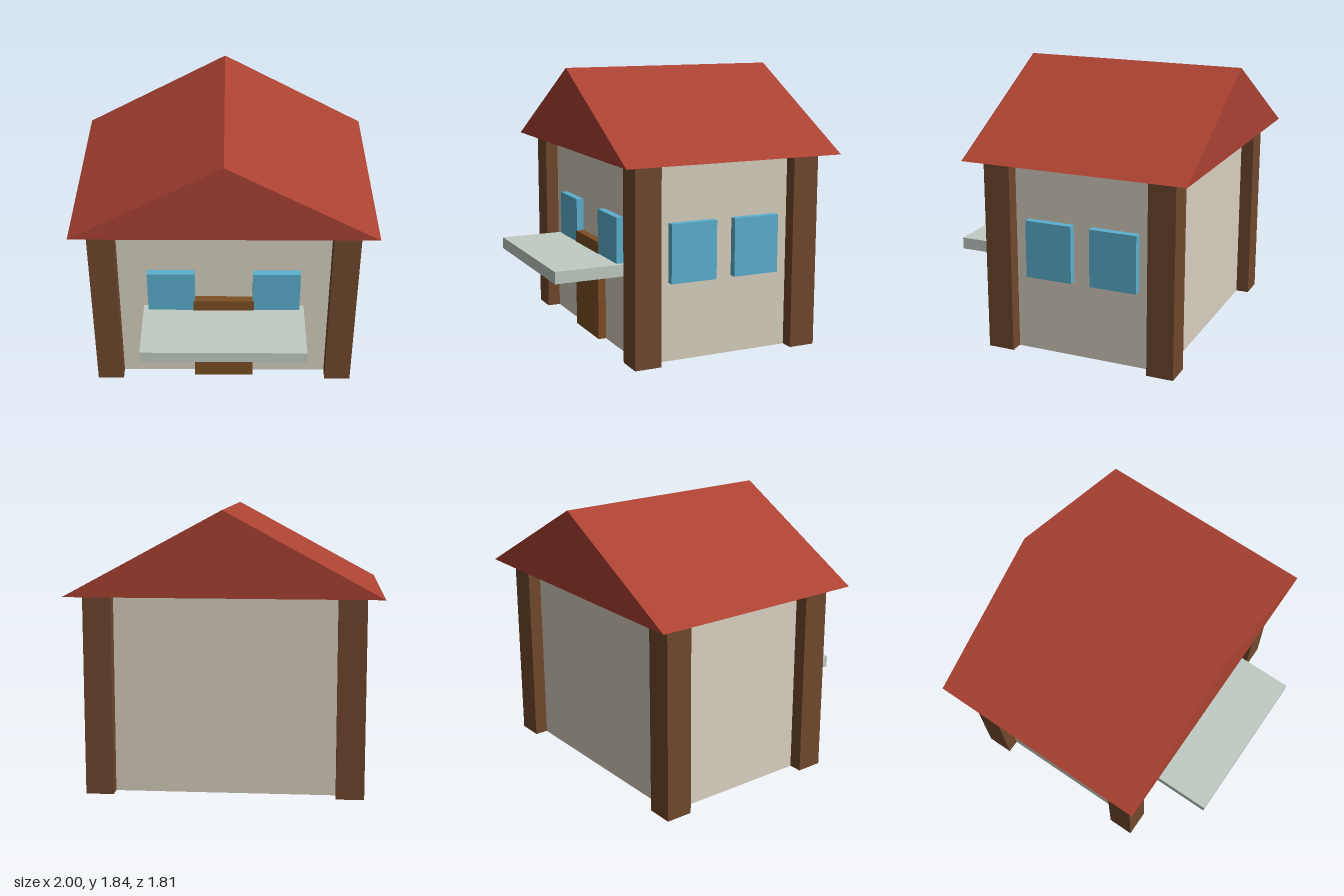
import * as THREE from 'three';

const mat = (color) => new THREE.MeshStandardMaterial({ color, flatShading: true });

export function createModel() {
  const house = new THREE.Group();
  house.name = 'house';

  const wallMat = mat(0xd8d0c0);
  const postMat = mat(0x70482d);
  const roofMat = mat(0xab4232);
  const glassMat = mat(0x5cb0cf);
  const doorMat = mat(0x7d4f25);
  const counterMat = mat(0xc0ccc4);

  // Box given by its lower and upper corners
  const box = (name, material, [x0, y0, z0], [x1, y1, z1]) => {
    const mesh = new THREE.Mesh(new THREE.BoxGeometry(x1 - x0, y1 - y0, z1 - z0), material);
    mesh.position.set((x0 + x1) / 2, (y0 + y1) / 2, (z0 + z1) / 2);
    mesh.name = name;
    house.add(mesh);
  };

  const eaves = 1.295;
  const wallX = 0.805, wallFront = 0.42, wallBack = -0.71;

  // Solid wall block
  box('walls', wallMat, [-wallX, 0, wallBack], [wallX, eaves, wallFront]);

  // Corner posts, centred on the wall corners
  const h = 0.09;
  for (const x of [-wallX, wallX]) {
    for (const z of [wallFront, wallBack]) {
      box('cornerPost', postMat, [x - h, 0.001, z - h], [x + h, eaves, z + h]);
    }
  }

  // Gable roof: solid triangular prism
  const gable = new THREE.Shape([
    new THREE.Vector2(-1, eaves),
    new THREE.Vector2(1, eaves),
    new THREE.Vector2(0, 1.835),
  ]);
  const roofGeometry = new THREE.ExtrudeGeometry(gable, { depth: 1.515, bevelEnabled: false });
  roofGeometry.translate(0, 0, -0.905);
  const roof = new THREE.Mesh(roofGeometry, roofMat);
  roof.name = 'roof';
  house.add(roof);

  // Two front windows and two on the left wall
  const sill = 0.52, head = 0.905, size = 0.32, out = 0.05;
  for (const x of [-0.517, 0.194]) {
    box('frontWindow', glassMat, [x, sill, wallFront - out], [x + size, head, wallFront + out]);
  }
  for (const z of [-0.08, -0.53]) {
    box('sideWindow', glassMat, [wallX - out, sill, z], [wallX + out, head, z + size]);
  }

  // Door and the counter across it
  box('door', doorMat, [-0.208, 0.001, wallFront - 0.08], [0.203, 0.68, wallFront + 0.055]);
  box('counter', counterMat, [-0.55, 0.52, wallFront], [0.546, 0.6, 0.905]);

  return house;
}
